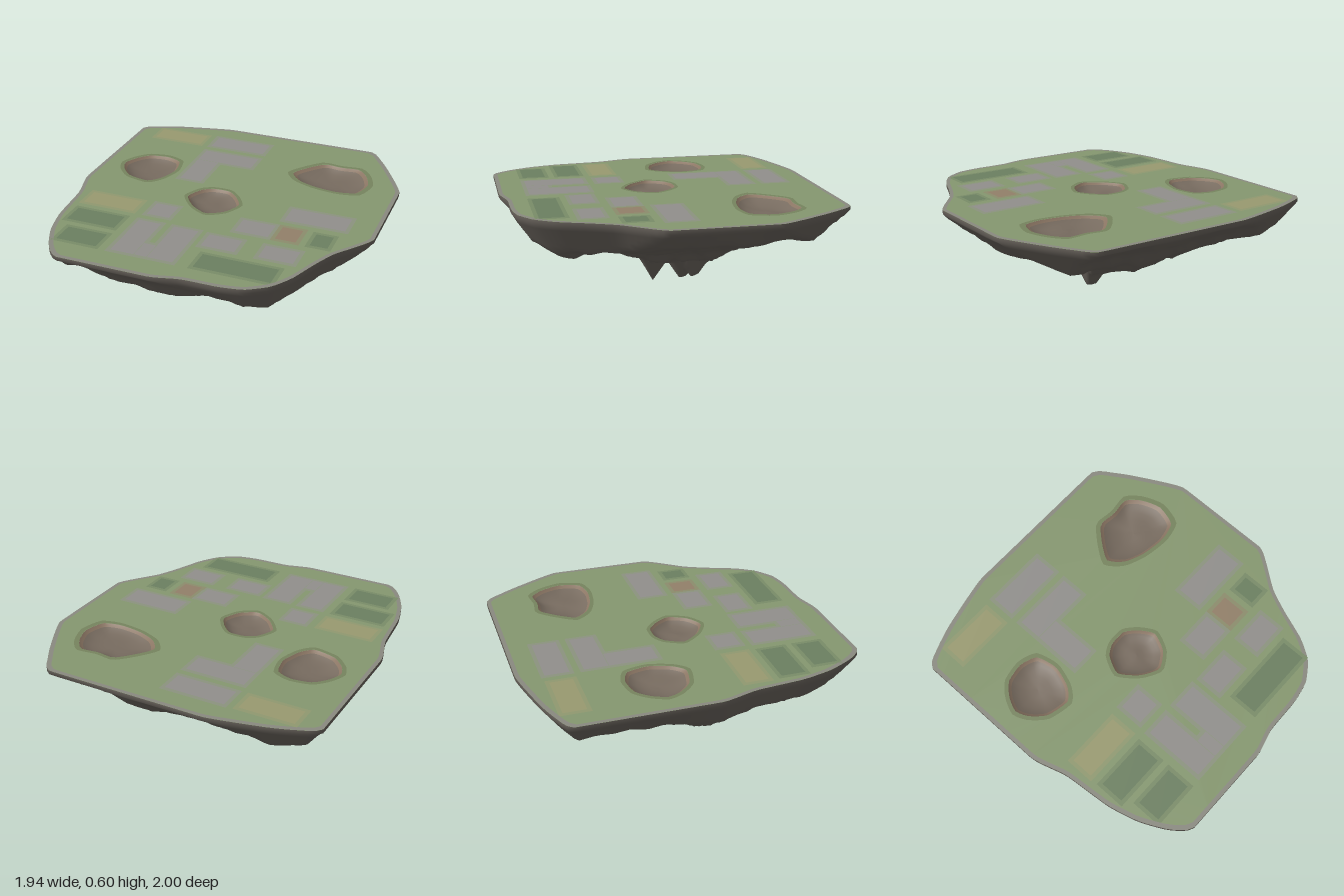
import * as THREE from 'three';

const TOP = 0.6;
const pairs = (a) => Array.from({ length: a.length / 2 }, (_, i) => [a[2 * i], a[2 * i + 1]]);
const clamp = THREE.MathUtils.clamp;

// island edge as x, z, clockwise from above
const EDGE = pairs([-0.97, -0.8, -0.86, -0.87, -0.7, -0.925, -0.35, -1, 0.15, -1, 0.65, -1, 0.75, -0.89,
  0.83, -0.76, 0.97, -0.48, 0.97, -0.15, 0.97, 0.16, 0.8, 0.4, 0.73, 0.55, 0.66, 0.73, 0.58, 0.85, 0.46, 0.93,
  0.32, 0.955, 0.1, 0.96, -0.07, 1, -0.35, 1, -0.65, 1, -0.75, 0.9, -0.83, 0.74, -0.88, 0.55, -0.91, 0.25,
  -0.97, 0.03, -0.97, -0.4]);

// pit edges as x, z, clockwise from above
const PITS = [
  [0.26, -0.5, 0.33, -0.61, 0.42, -0.7, 0.53, -0.69, 0.65, -0.7, 0.72, -0.62, 0.76, -0.5, 0.72, -0.37, 0.6, -0.34, 0.45, -0.36, 0.33, -0.41],
  [-0.83, -0.24, -0.79, -0.33, -0.72, -0.4, -0.6, -0.42, -0.5, -0.38, -0.47, -0.25, -0.51, -0.12, -0.58, -0.05, -0.72, -0.08, -0.8, -0.16],
  [-0.25, 0.05, -0.2, -0.06, -0.13, -0.1, -0.03, -0.1, 0.04, -0.04, 0.09, 0.05, 0.04, 0.16, -0.06, 0.22, -0.17, 0.16],
].map(pairs);

// lowest rock height along x and along z
const LOW_X = pairs([-0.97, 0.57, -0.85, 0.39, -0.7, 0.33, -0.62, 0.22, -0.53, 0.16, -0.42, 0.23, -0.36, 0.19, -0.27, 0.24,
  -0.18, 0.18, -0.1, 0.15, 0, 0, 0.16, 0, 0.22, 0.17, 0.34, 0.17, 0.42, 0.25, 0.5, 0.3,
  0.7, 0.37, 0.85, 0.44, 0.97, 0.57]);
const LOW_Z = pairs([-1, 0.57, -0.88, 0.47, -0.8, 0.37, -0.64, 0.28, -0.55, 0.29, -0.46, 0.23, -0.42, 0.25, -0.38, 0.21,
  -0.3, 0.13, -0.2, 0, 0.05, 0, 0.15, 0.16, 0.3, 0.2, 0.4, 0.24, 0.6, 0.24,
  0.7, 0.3, 0.78, 0.36, 0.85, 0.4, 0.9, 0.48, 1, 0.57]);

// rock spikes as x, y, z
const SPIKES = [[0, 0, 0.05], [0.09, 0.01, -0.12], [0.15, 0.03, -0.18]];
const ROCK_CENTRE = [0, 0.05];

// ground patches: colour, then x0, z0, x1, z1
const GREEN = 0x869870, PAVING = 0x918f8c, SAND = 0x999a70, HEDGE = 0x6c8061, RUST = 0x928069;
const PATCHES = [
  ['sandPatch', SAND, -0.83, -0.84, -0.47, -0.68], ['sandPatch', SAND, -0.83, 0.21, -0.47, 0.37],
  ['paving', PAVING, -0.41, -0.85, -0.01, -0.68], ['paving', PAVING, -0.41, -0.62, -0.01, -0.45],
  ['paving', PAVING, -0.41, -0.47, -0.24, -0.15], ['paving', PAVING, 0.4, -0.04, 0.8, 0.14],
  ['paving', PAVING, -0.4, 0.2, -0.23, 0.37], ['paving', PAVING, 0.17, 0.2, 0.4, 0.37],
  ['paving', PAVING, -0.41, 0.43, -0.24, 0.83], ['paving', PAVING, -0.18, 0.43, 0, 0.83],
  ['paving', PAVING, -0.26, 0.67, -0.16, 0.83], ['paving', PAVING, 0.05, 0.44, 0.28, 0.6],
  ['paving', PAVING, 0.4, 0.44, 0.63, 0.6], ['rustPatch', RUST, 0.42, 0.2, 0.57, 0.37],
  ['hedgePatch', HEDGE, 0.63, 0.21, 0.76, 0.37], ['hedgePatch', HEDGE, -0.82, 0.43, -0.48, 0.6],
  ['hedgePatch', HEDGE, -0.76, 0.66, -0.48, 0.83], ['hedgePatch', HEDGE, 0.1, 0.66, 0.58, 0.83],
];

function lookup(table, v) {
  const i = clamp(table.findIndex((p) => p[0] > v), 1, table.length - 1);
  const [a, b] = [table[i - 1], table[i]];
  return THREE.MathUtils.lerp(a[1], b[1], clamp((v - a[0]) / (b[0] - a[0]), 0, 1));
}

function smoothLoop(points, count, tension) {
  const curve = new THREE.CatmullRomCurve3(points.map(([x, z]) => new THREE.Vector3(x, 0, z)), true, 'catmullrom', tension);
  return curve.getSpacedPoints(count).slice(0, count).map((p) => [clamp(p.x, -0.97, 0.97), clamp(p.z, -1, 1)]);
}

const middle = (loop) => [0, 1].map((k) => loop.reduce((s, p) => s + p[k], 0) / loop.length);
const scaled = (loop, s, [cx, cz] = middle(loop)) => loop.map(([x, z]) => [cx + (x - cx) * s, cz + (z - cz) * s]);
const toPath = (loop, Type) => new Type(loop.map(([x, z]) => new THREE.Vector2(x, -z)));

function mesh(name, geometry, color) {
  const m = new THREE.Mesh(geometry, new THREE.MeshStandardMaterial({ color }));
  m.name = name;
  return m;
}

// flat sheet with holes, facing up
function sheet(name, loop, holes, y, color) {
  const shape = toPath(loop, THREE.Shape);
  shape.holes = holes.map((h) => toPath(h, THREE.Path));
  return mesh(name, new THREE.ShapeGeometry(shape).rotateX(-Math.PI / 2).translate(0, y, 0), color);
}

// surface of shrinking copies of a loop, with a height rule
function rings(loop, centre, steps, height, up) {
  const n = loop.length, pos = [], index = [];
  steps.forEach((t, r) => {
    scaled(loop, t, centre).forEach(([x, z], i) => {
      pos.push(x, height(x, z, t, r), z);
      if (r === steps.length - 1) return;
      const a = r * n + i, b = r * n + (i + 1) % n;
      if (up) index.push(a, a + n, b, b, a + n, b + n);
      else index.push(a, b, a + n, b, b + n, a + n);
    });
  });
  const g = new THREE.BufferGeometry();
  g.setAttribute('position', new THREE.Float32BufferAttribute(pos, 3));
  g.setIndex(index);
  g.computeVertexNormals();
  return g;
}

// underside: craggy slopes, thinner towards the diagonals, with spikes near the middle
function rockHeight(x, z, t, r) {
  if (r === 0) return TOP;
  const wob = 0.15 * t * (1 - t);
  const dx = TOP - lookup(LOW_X, x + wob * Math.sin(9 * z + 1));
  const dz = TOP - lookup(LOW_Z, z + wob * Math.sin(8 * x));
  const diagonal = Math.sin(2 * Math.atan2(z, x)) ** 2 * Math.min(1, 2.5 * t);
  const folds = 0.5 + 0.5 * Math.sin(9 * x + 4 * z + 2) * Math.sin(10 * z - 5 * x);
  const crags = Math.abs(Math.sin(17 * x + 3 * Math.sin(7 * z)) * Math.sin(15 * z + 2 * Math.sin(8 * x)));
  const slopes = Math.min(dx, dz) * (1 - 0.15 * diagonal - (0.13 * folds + 0.07 * crags) * Math.min(1, 2 * t));
  const spikes = SPIKES.map(([sx, sy, sz]) => TOP - sy - 1.5 * Math.hypot(x - sx, z - sz));
  const rim = 0.025 + 1.6 * (1 - t);
  return TOP - Math.max(0.025, Math.min(slopes, rim, Math.max(0.43, ...spikes)));
}

export function createModel() {
  const island = new THREE.Group();
  island.name = 'floatingIsland';
  const edge = smoothLoop(EDGE, 160, 0.25);
  const pits = PITS.map((p) => smoothLoop(p, 40, 0.3));

  // rock
  const steps = [1, ...Array.from({ length: 57 }, (_, i) => 1 - i / 56)];
  island.add(mesh('rockUnderside', rings(edge, ROCK_CENTRE, steps, rockHeight, false), 0x6c665f));

  // ground with a stony border
  island.add(sheet('grassTop', edge, pits, TOP, GREEN));
  island.add(sheet('stoneBorder', edge, [scaled(edge, 0.975, [0, 0])], TOP + 0.001, 0x8a8a80));

  // patches, each with a blended fringe
  for (const [name, color, x0, z0, x1, z1] of PATCHES) {
    const blend = new THREE.Color(color).lerp(new THREE.Color(GREEN), 0.5);
    const rect = (e) => [[x0 - e, z0 - e], [x1 + e, z0 - e], [x1 + e, z1 + e], [x0 - e, z1 + e]];
    island.add(sheet(name + 'Fringe', rect(0.012), [], TOP + 0.001, blend));
    island.add(sheet(name, rect(-0.012), [], TOP + 0.002, color));
  }

  // shallow earth pits
  pits.forEach((pit) => {
    const group = new THREE.Group();
    group.name = 'pit';
    const c = middle(pit);
    const bowl = (x, z, t) => TOP - 0.04 * (1 - t ** 4) - 0.006 * (1 - t) * Math.sin(20 * x + 14 * z);
    group.add(sheet('pitFringe', scaled(pit, 1.14), [pit], TOP + 0.0015, 0x77855f));
    group.add(mesh('pitWall', rings(pit, c, [1, 0.97, 0.94, 0.9], bowl, true), 0x8a7563));
    group.add(mesh('pitFloor', rings(pit, c, [0.9, 0.8, 0.65, 0.45, 0.25, 0], bowl, true), 0x786c60));
    island.add(group);
  });
  return island;
}
